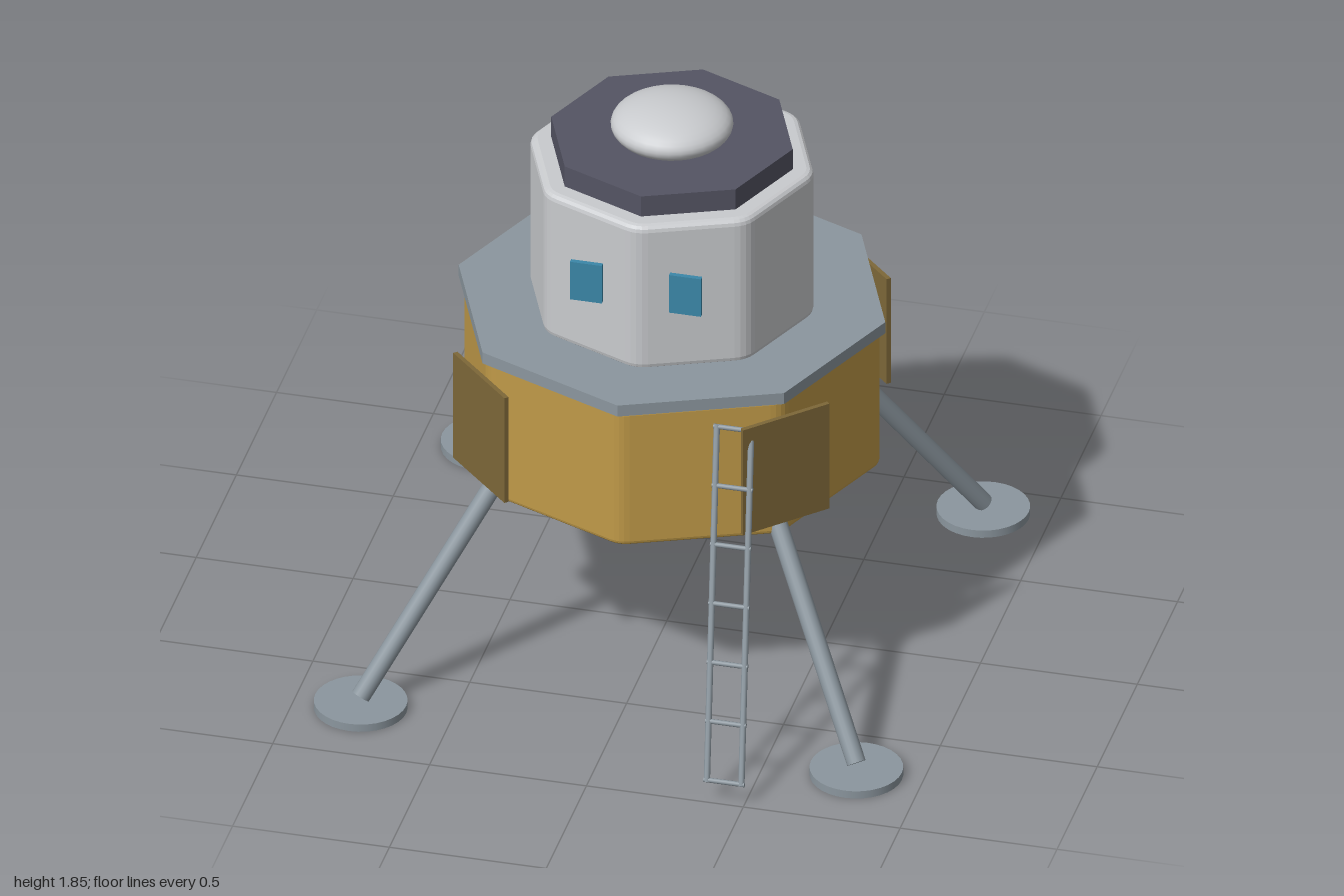
import * as THREE from 'three';

const paint = (name, color) => {
  const m = new THREE.MeshStandardMaterial({ color });
  m.name = name;
  return m;
};

export function createModel() {
  const gold = paint('gold foil', 0xc09a48);
  const bronze = paint('bronze panel', 0x7d6738);
  const white = paint('cabin grey white', 0xc9cbce);
  const steel = paint('steel', 0x8b969e);
  const dark = paint('dark slate', 0x545463);
  const blue = paint('window blue', 0x3b87a8);

  const root = new THREE.Group();
  root.name = 'landerModel';
  const lander = new THREE.Group();
  lander.name = 'lander';
  lander.position.z = -0.065; // the ladder reaches forward of the hull
  root.add(lander);

  const add = (name, geometry, material, x = 0, y = 0, z = 0, parent = lander) => {
    const mesh = new THREE.Mesh(geometry, material);
    mesh.name = name;
    mesh.position.set(x, y, z);
    parent.add(mesh);
    return mesh;
  };

  // Round bar between two points
  const bar = (name, a, b, radius, material, parent, sides = 12) => {
    const dir = b.clone().sub(a);
    const mesh = add(name, new THREE.CylinderGeometry(radius, radius, dir.length(), sides), material, 0, 0, 0, parent);
    mesh.position.copy(a).add(b).multiplyScalar(0.5);
    mesh.quaternion.setFromUnitVectors(new THREE.Vector3(0, 1, 0), dir.normalize());
    return mesh;
  };

  // Eight-sided block with softened corners and rims, points on the axes
  const softOctagon = (radius, y0, y1, cut, bevel) => {
    const corner = i => new THREE.Vector2(Math.cos(i * Math.PI / 4), Math.sin(i * Math.PI / 4)).multiplyScalar(radius);
    const t = cut / corner(0).distanceTo(corner(1));
    const shape = new THREE.Shape();
    for (let i = 0; i < 8; i++) {
      const c = corner(i);
      const a = c.clone().lerp(corner(i - 1), t), b = c.clone().lerp(corner(i + 1), t);
      if (i === 0) shape.moveTo(a.x, a.y); else shape.lineTo(a.x, a.y);
      shape.quadraticCurveTo(c.x, c.y, b.x, b.y);
    }
    shape.closePath();
    const geometry = new THREE.ExtrudeGeometry(shape, {
      depth: y1 - y0 - 2 * bevel, curveSegments: 4,
      bevelThickness: bevel, bevelSize: bevel, bevelOffset: -bevel, bevelSegments: 3,
    });
    return geometry.rotateX(-Math.PI / 2).translate(0, y0 + bevel, 0);
  };

  const octagon = (radius, height) => {
    const g = new THREE.CylinderGeometry(radius, radius, height, 8).toNonIndexed();
    g.computeVertexNormals();
    return g;
  };

  // Hull, deck and cabin
  add('descentStage', softOctagon(0.666, 0.63, 1.115, 0.035, 0.015), gold);
  add('deck', octagon(0.68, 0.04), steel, 0, 1.13, 0);
  add('cabin', softOctagon(0.456, 1.14, 1.66, 0.04, 0.022), white);
  add('roofCollar', octagon(0.385, 0.075), dark, 0, 1.695, 0);
  add('hatchDome', new THREE.SphereGeometry(0.19, 32, 20), white, 0, 1.77, 0).scale.y = 0.395;

  // Engine bell
  add('engineBell', new THREE.CylinderGeometry(0.075, 0.19, 0.255, 16), dark, 0, 0.5125, 0);

  // Windows stand just off the front facets
  for (const s of [-1, 1]) {
    add(s > 0 ? 'leftWindow' : 'rightWindow', new THREE.BoxGeometry(0.102, 0.136, 0.016), blue, s * 0.158, 1.438, 0.448);
  }

  // Four legs with feet and corner panels
  for (const sx of [-1, 1]) for (const sz of [-1, 1]) {
    const leg = new THREE.Group();
    leg.name = (sz > 0 ? 'front' : 'back') + (sx > 0 ? 'Left' : 'Right') + 'Leg';
    lander.add(leg);
    bar('strut', new THREE.Vector3(sx * 0.43, 0.7, sz * 0.43), new THREE.Vector3(sx * 0.79, 0.04, sz * 0.79), 0.03, steel, leg, 16);
    add('foot', new THREE.CylinderGeometry(0.145, 0.145, 0.026, 32), steel, sx * 0.79, 0.013, sz * 0.79, leg);
    const panel = add('cornerPanel', new THREE.BoxGeometry(0.31, 0.38, 0.015), bronze, sx * 0.485, 0.88, sz * 0.485, leg);
    panel.rotation.y = Math.atan2(sx, sz);
  }

  // Ladder leaning forward beside the front left leg
  const ladder = new THREE.Group();
  ladder.name = 'ladder';
  root.add(ladder);
  const top = [0.285, 0.395].map(x => new THREE.Vector3(x, 1.05, 0.49));
  const foot = [0.382, 0.492].map(x => new THREE.Vector3(x, 0.07, 0.993));
  top.forEach((p, i) => bar('ladderRail', p, foot[i], 0.01, steel, ladder, 8));
  for (let i = 0; i < 7; i++) {
    const t = 0.005 + 0.99 * i / 6;
    const [a, b] = top.map((p, k) => p.clone().lerp(foot[k], t));
    a.x -= 0.01;
    b.x += 0.01;
    bar('ladderRung', a, b, 0.008, steel, ladder, 8);
  }

  return root;
}
